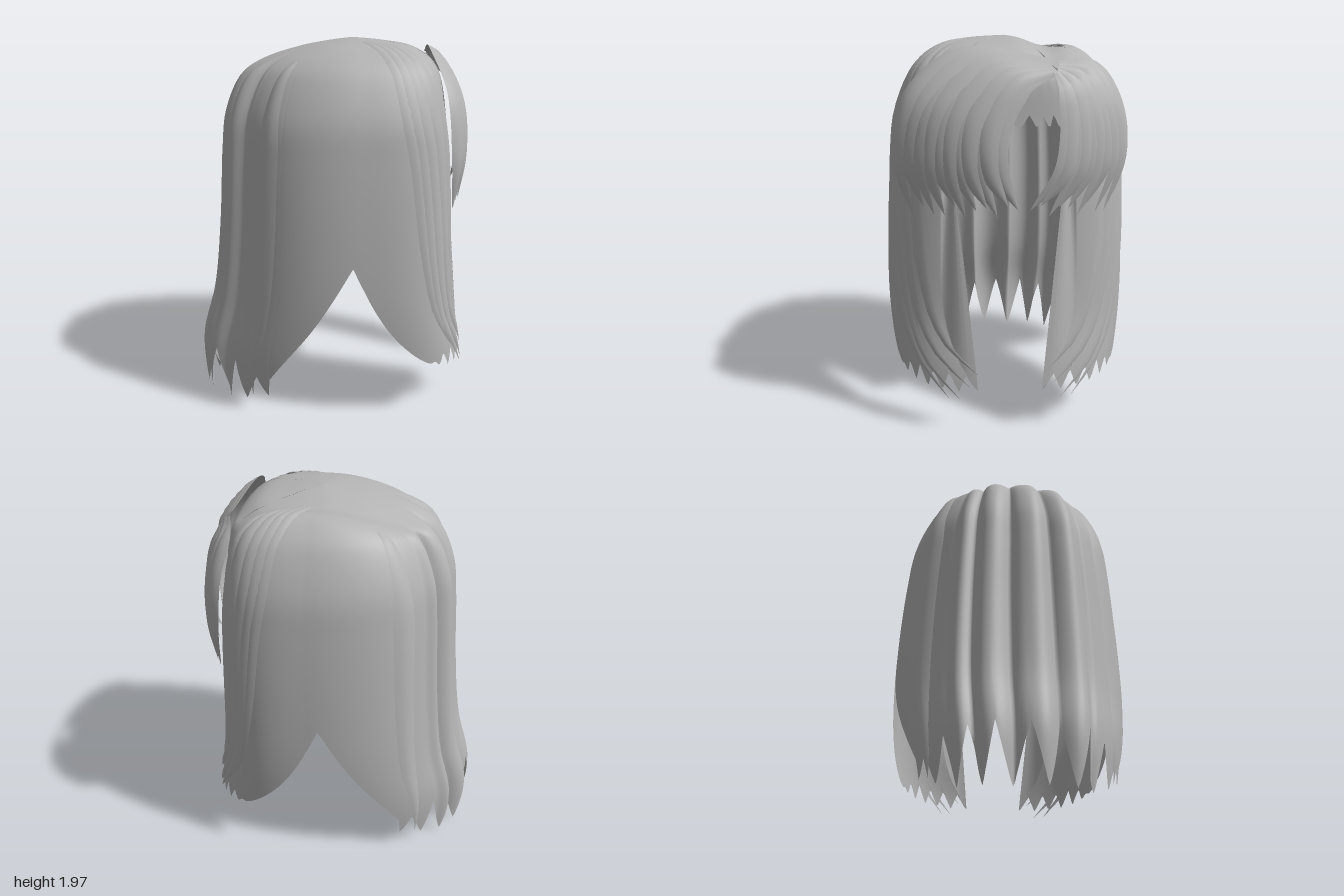
import * as THREE from 'three';

const hair = new THREE.MeshStandardMaterial({ color: 0xb4b4b4, side: THREE.DoubleSide });
hair.name = 'hairGrey';

// Head profile from crown to hem: height, back reach, front reach, half width
const CX = 0.12;
const PROFILE = [
  [1.985, -CX, CX, 0], [1.97, 0.0, 0.28, 0.2], [1.94, 0.16, 0.44, 0.33],
  [1.88, 0.34, 0.53, 0.42], [1.8, 0.44, 0.575, 0.485], [1.6, 0.53, 0.6, 0.57],
  [1.4, 0.555, 0.62, 0.6], [1.0, 0.58, 0.635, 0.63], [0.6, 0.625, 0.66, 0.635],
  [0.3, 0.7, 0.725, 0.605], [0, 0.69, 0.74, 0.56],
];
const backCurve = new THREE.CatmullRomCurve3(PROFILE.map(([y, b, , z]) => new THREE.Vector3(b, y, z)));
const frontCurve = new THREE.CatmullRomCurve3(PROFILE.map(([y, , f, z]) => new THREE.Vector3(f, y, z)));

const FRONT_EDGE = 2.78;
const { smoothstep, lerp } = THREE.MathUtils;
// Round behind, squarer towards the face
const squareness = (a) => (Math.cos(a) > 0 ? 0.9 : 0.63);
const power = (v, p) => Math.sign(v) * Math.pow(Math.abs(v), p);
// 0 at the middle of a lock, 1 between two locks
const phase = (a, period, offset) => 2 * Math.abs((a - offset) / period - Math.round((a - offset) / period));

// Parameter at which a falling curve passes a given height
function paramAt(curve, y) {
  let lo = 0, hi = 1;
  for (let i = 0; i < 22; i++) {
    const mid = (lo + hi) / 2;
    if (curve.getPoint(mid).y > y) lo = mid; else hi = mid;
  }
  return lo;
}

// Point on the head of hair: a = 0 at the back, +-PI at the face
function shellPoint(a, t, lift = 0) {
  const q = power(Math.cos(a), squareness(a));
  const p = (q > 0 ? backCurve : frontCurve).getPoint(t);
  const reach = q > 0 ? p.x + CX : p.x - CX;
  // Three thick locks running down the back
  const backness = smoothstep(Math.cos(a), 0.82, 0.92);
  const ridge = 0.07 * backness * smoothstep(t, 0.2, 0.45) * (0.6 - phase(a, 0.31, 0.06) ** 2);
  const z = power(Math.sin(a), squareness(a)) * (p.z + ridge + lift);
  const parting = 0.04 * Math.exp(-(((z + 0.2) / 0.1) ** 2)) * smoothstep(p.y, 1.8, 1.92);
  return new THREE.Vector3(
    CX - q * (reach + ridge + lift),
    p.y - parting + lift * (1 - smoothstep(t, 0.1, 0.5)), z);
}

// Lower edge: pointed locks behind, a notch at each side, open at the face
function hemHeight(a) {
  if (Math.abs(a) > FRONT_EDGE) return 1.56 + 0.07 * phase(a, 0.08, 0);
  const q = power(Math.cos(a), squareness(a));
  const d = CX - q * (q > 0 ? 0.76 : 0.58) - 0.07;
  if (d > 0) return 0.88 - 2.1 * d + 1.7 * d * d + 0.1 * smoothstep(d, 0.4, 0.5) * phase(a, 0.12, 0);
  if (d > -0.4) return 0.88 + 1.7 * d;
  const back = smoothstep(-d, 0.4, 0.65);
  return lerp(0.1, 0.01, back) + lerp(0.1, 0.3, back) * phase(a, 0.22, 0.11) ** 1.2;
}

// Inward hook of the side hair's front edge near its tips
function hook(a, s) {
  if (Math.abs(a) > FRONT_EDGE) return 0;
  return Math.sign(a) * 0.25 * smoothstep(Math.abs(a), 1.95, FRONT_EDGE) * Math.max(0, (s - 0.8) / 0.2) ** 2;
}

// Smooth surface from a grid of points
function gridMesh(name, rows) {
  const n = rows[0].length, index = [];
  for (let i = 0; i < rows.length - 1; i++)
    for (let j = 0; j < n - 1; j++) {
      const k = i * n + j;
      index.push(k, k + 1, k + n, k + 1, k + n + 1, k + n);
    }
  const geo = new THREE.BufferGeometry().setFromPoints(rows.flat());
  geo.setIndex(index);
  geo.computeVertexNormals();
  const mesh = new THREE.Mesh(geo, hair);
  mesh.name = name;
  return mesh;
}

// Tapered, slightly arched lock of hair along a path
function lock(name, points, width, rootWidth) {
  const curve = new THREE.CatmullRomCurve3(points);
  const rows = [], N = 28;
  for (let i = 0; i <= N; i++) {
    const s = i / N, p = curve.getPoint(s);
    const out = new THREE.Vector3(p.x - CX, p.y - Math.min(p.y, 1.5), p.z).normalize();
    const side = new THREE.Vector3().crossVectors(curve.getTangent(s), out).normalize();
    const w = 0.5 * width * Math.min(1, rootWidth + 2 * s) * (1 - s ** 5) + 0.0005;
    const row = [];
    for (let j = -2; j <= 2; j++) {
      const e = j / 2;
      row.push(p.clone().addScaledVector(side, e * w).addScaledVector(out, 0.25 * w * (1 - e * e)));
    }
    rows.push(row);
  }
  return gridMesh(name, rows);
}

// Lock lying on the head, sweeping from angle a0 to a1 and hooking at the tip
function headLock(name, a0, a1, t0, tipY, width, lift) {
  const t1 = paramAt(backCurve, tipY), pts = [];
  for (let i = 0; i <= 14; i++) {
    const s = i / 14;
    pts.push(shellPoint(a0 + (a1 - a0) * (0.45 * s + 0.55 * s ** 8), lerp(t0, t1, s), lift * Math.min(1, s * 4)));
  }
  return lock(name, pts, width, 0.2);
}

// Forward bulge of the fringe at a height and sideways position
const bulge = new THREE.CatmullRomCurve3([[0.52, 1.95], [0.565, 1.9], [0.63, 1.82], [0.675, 1.72],
  [0.7, 1.6], [0.715, 1.45], [0.715, 1.3], [0.685, 1.13]].map(([x, y]) => new THREE.Vector3(x, y, 0)));
function fringePoint(y, z) {
  return new THREE.Vector3(bulge.getPoint(paramAt(bulge, y)).x - 0.4 * z * z, y, z);
}

// Fan of locks blended from an inner path to an outer path of [z, y] points
function fringeFan(name, inner, outer, count, width) {
  const group = new THREE.Group();
  group.name = name;
  for (let i = 0; i < count; i++) {
    const k = i / (count - 1);
    const pts = inner.map(([z, y], j) => {
      const p = fringePoint(lerp(y, outer[j][1], k), lerp(z, outer[j][0], k));
      p.x += 0.01 * (i % 2);
      return p;
    });
    pts[pts.length - 1].y += 0.03 * Math.sin(i * 2.3);
    group.add(lock('fringeLock', pts, width, 0.35));
  }
  return group;
}

export function createModel() {
  const model = new THREE.Group();
  model.name = 'hairstyle';

  // Main body of hair
  const COLS = 400, ROWS = 44, shell = [];
  for (let i = 0; i <= COLS; i++) {
    const a = -Math.PI + (2 * Math.PI * i) / COLS;
    const tEnd = paramAt(backCurve, hemHeight(a)), column = [];
    for (let j = 0; j <= ROWS; j++) column.push(shellPoint(a + hook(a, j / ROWS), (tEnd * j) / ROWS));
    shell.push(column);
  }
  model.add(gridMesh('mainHair', shell));

  // Locks framing the face and one behind each side, mirrored
  const frameLocks = [ // start angle, end angle, start on profile, tip height, width, lift
    [1.68, 2.68, 0.1, 0.27, 0.1, 0.006], [1.78, 2.78, 0.1, 0.2, 0.1, 0.009],
    [1.9, 2.88, 0.12, 0.2, 0.1, 0.012], [2.05, 2.96, 0.14, 0.27, 0.1, 0.014],
    [2.25, 3.02, 0.2, 0.33, 0.1, 0.01],
  ];
  for (const s of [1, -1]) {
    const side = new THREE.Group();
    side.name = s > 0 ? 'leftLocks' : 'rightLocks';
    for (const [a0, a1, ...rest] of frameLocks) side.add(headLock('faceLock', s * a0, s * a1, ...rest));
    side.add(headLock('backLock', s * 0.86, s * 0.84, 0.3, 0.1, 0.14, 0.006));
    model.add(side);
  }

  // Fringe swept to both sides of an off-centre parting
  model.add(fringeFan('wideFringe',
    [[-0.21, 1.83], [-0.06, 1.77], [0.05, 1.58], [0.05, 1.38], [-0.04, 1.18]],
    [[-0.2, 1.88], [0.22, 1.91], [0.47, 1.72], [0.54, 1.42], [0.47, 1.16]], 11, 0.115));
  model.add(fringeFan('narrowFringe',
    [[-0.23, 1.83], [-0.27, 1.74], [-0.28, 1.56], [-0.24, 1.36], [-0.1, 1.18]],
    [[-0.24, 1.87], [-0.42, 1.85], [-0.53, 1.68], [-0.56, 1.42], [-0.47, 1.16]], 9, 0.1));

  return model;
}
